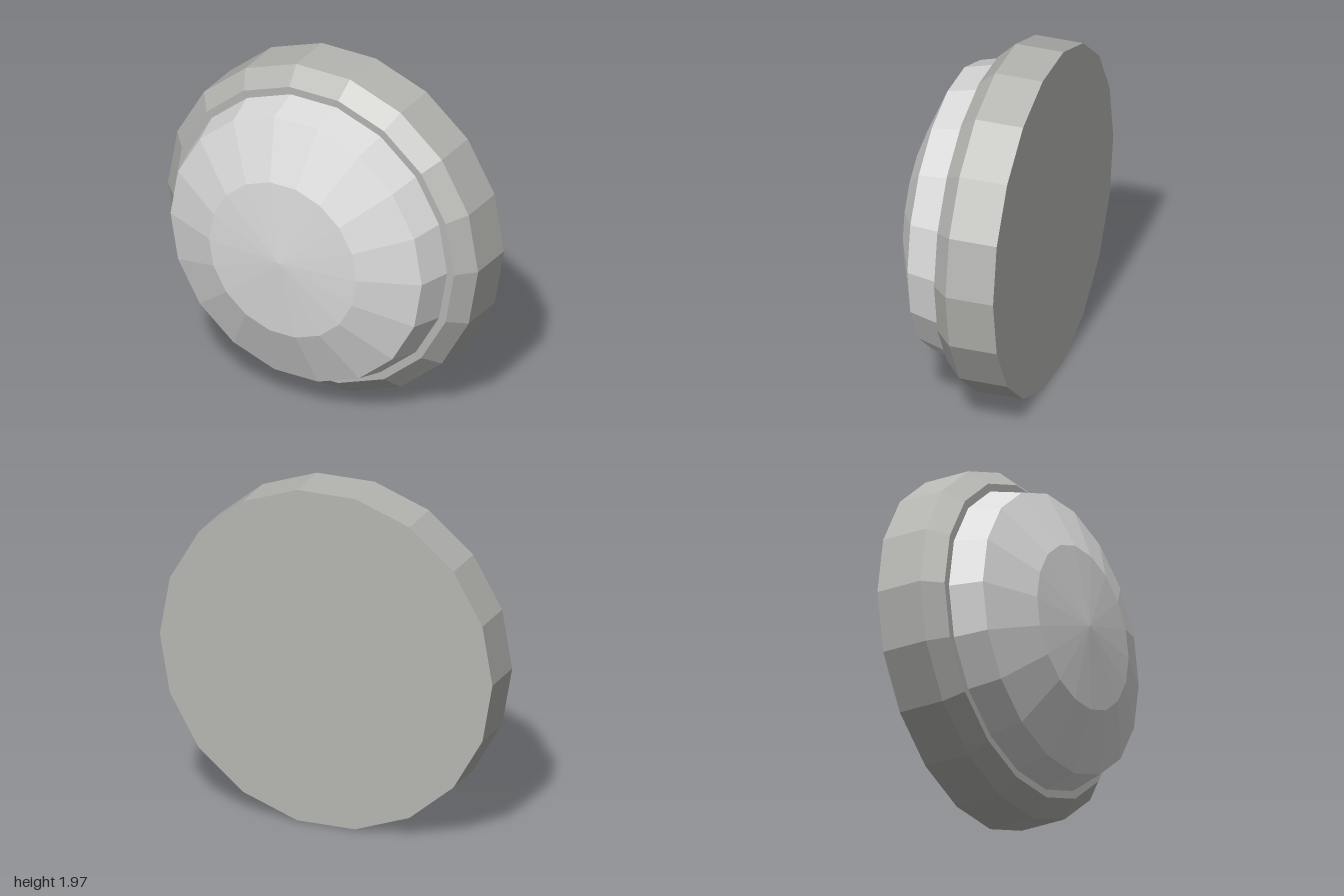
import * as THREE from 'three';

const SIDES = 18;
const CENTRE_Y = 0.985;

const housingGrey = new THREE.MeshStandardMaterial({ color: 0xb5b5b2 });
housingGrey.name = 'housing grey';
const lensGrey = new THREE.MeshStandardMaterial({ color: 0xd9d9d9 });
lensGrey.name = 'lens light grey';

// Revolves [radius, z] points about the front-to-back axis, with flat facets
function revolve(name, profile, material) {
  const points = profile.map(([r, z]) => new THREE.Vector2(r, z));
  const lathe = new THREE.LatheGeometry(points, SIDES, Math.PI / 2);
  lathe.rotateX(Math.PI / 2);
  const geometry = lathe.toNonIndexed();
  geometry.computeVertexNormals();
  const mesh = new THREE.Mesh(geometry, material);
  mesh.name = name;
  mesh.position.y = CENTRE_Y;
  return mesh;
}

export function createModel() {
  const group = new THREE.Group();
  group.name = 'roundLamp';

  // Closed drum with a bevelled front rim
  group.add(revolve('housing', [
    [0, -0.38], [1, -0.38], [1, -0.1], [0.905, 0], [0, 0],
  ], housingGrey));

  // Faceted dome standing on the drum's front face
  group.add(revolve('lens', [
    [0.86, 0], [0.81, 0.19], [0.475, 0.335], [0, 0.38],
  ], lensGrey));

  return group;
}
